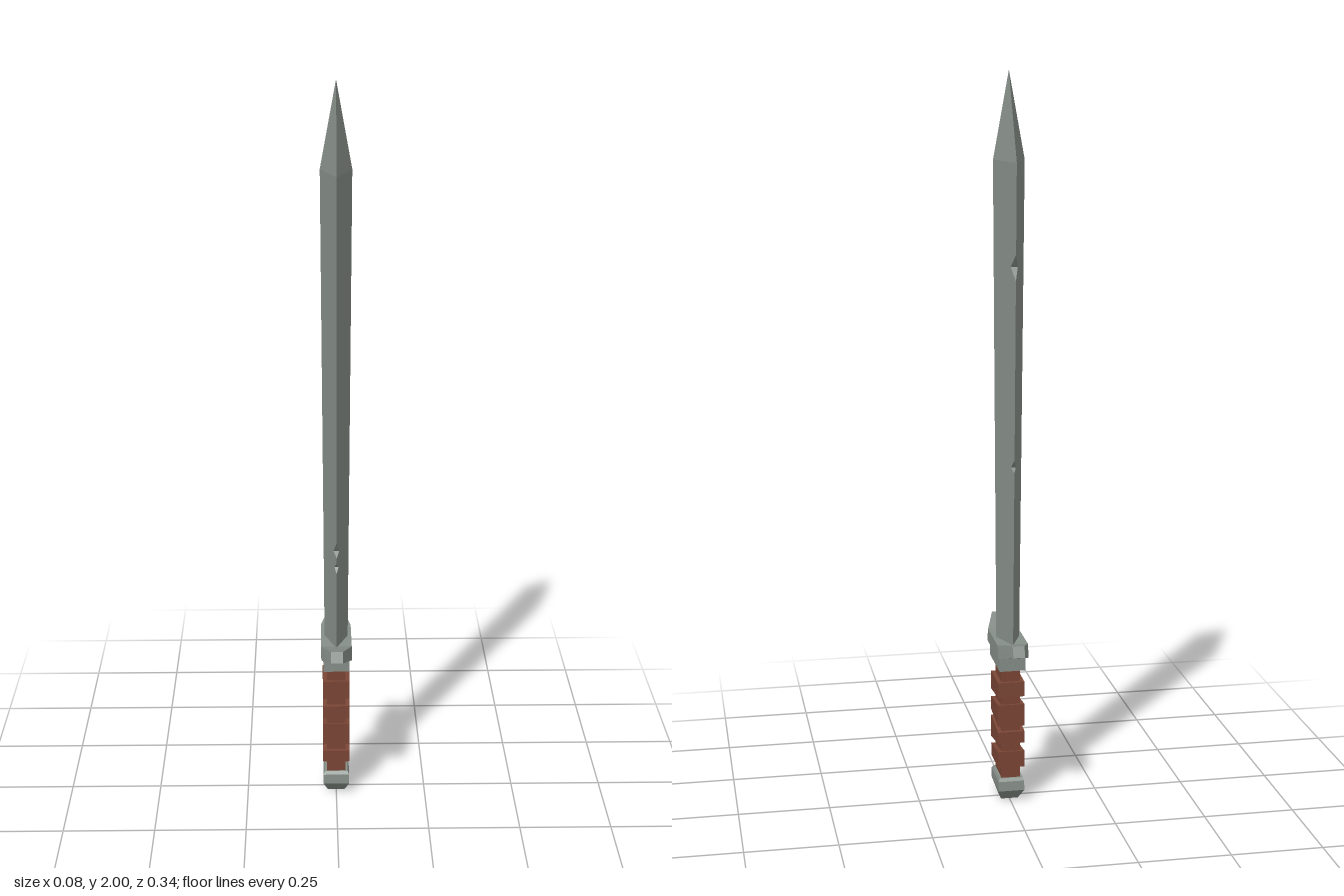
import * as THREE from 'three';

// Skin a series of equal-length rings, counterclockwise about the direction of travel, with end caps.
function loft(rings) {
  const pos = [];
  const tri = (a, b, c) => pos.push(...a, ...b, ...c);
  const n = rings[0].length;
  for (let r = 0; r < rings.length - 1; r++) {
    const a = rings[r], b = rings[r + 1];
    for (let i = 0; i < n; i++) {
      const j = (i + 1) % n;
      tri(a[i], a[j], b[j]);
      tri(a[i], b[j], b[i]);
    }
  }
  const first = rings[0], last = rings[rings.length - 1];
  for (let i = 1; i < n - 1; i++) {
    tri(first[0], first[i + 1], first[i]);
    tri(last[0], last[i], last[i + 1]);
  }
  const geo = new THREE.BufferGeometry();
  geo.setAttribute('position', new THREE.Float32BufferAttribute(pos, 3));
  geo.computeVertexNormals();
  return geo;
}

// Rectangular ring at height y; skew tilts it along z.
const rect = (y, hx, hz, skew = 0) =>
  [[hx, hz], [hx, -hz], [-hx, -hz], [-hx, hz]].map(([x, z]) => [x, y + skew * z, z]);

export function createModel() {
  const steel = new THREE.MeshStandardMaterial({ color: 0x868e88 });
  steel.name = 'steel';
  const leather = new THREE.MeshStandardMaterial({ color: 0x7a4635 });
  leather.name = 'leather';

  const sword = new THREE.Group();
  sword.name = 'sword';
  const add = (name, geo, mat) => {
    const mesh = new THREE.Mesh(geo, mat);
    mesh.name = name;
    sword.add(mesh);
  };

  // Blade: diamond section, blunted wherever a nick cuts into an edge
  const bottom = 0.45, shoulder = 1.77;
  const rows = [ // height, front nick depth, back nick depth
    [bottom, 0, 0], [0.685, 0, 0], [0.7, 0.015, 0], [0.715, 0, 0],
    [0.73, 0, 0], [0.745, 0.02, 0], [0.775, 0, 0],
    [0.95, 0, 0], [0.962, 0, 0.017], [0.985, 0, 0],
    [1.465, 0, 0], [1.5, 0, 0.024], [1.535, 0, 0], [shoulder, 0, 0],
  ];
  const bladeRings = rows.map(([y, nickF, nickB]) => {
    const k = (y - bottom) / (shoulder - bottom);
    const ridge = -0.016 * k, w = 0.032 + 0.01 * k;
    const front = 0.081 + 0.014 * k, back = -0.079 - 0.047 * k;
    const tf = w * nickF / (front - ridge), tb = w * nickB / (ridge - back);
    const zf = front - nickF, zb = back + nickB;
    return [[w, y, ridge], [tb, y, zb], [-tb, y, zb], [-w, y, ridge], [-tf, y, zf], [tf, y, zf]];
  });
  bladeRings.push(Array.from({ length: 6 }, () => [0, 2, -0.016]));
  add('blade', loft(bladeRings), steel);

  // Crossguard: flat middle with narrowing, upswept arms
  const half = [ // top z, top y, bottom z, bottom y, half width
    [0.073, 0.466, 0.086, 0.43, 0.042],
    [0.157, 0.488, 0.17, 0.46, 0.016],
  ];
  const guardRing = ([zt, yt, zb, yb, w], s) =>
    [[w, yb, s * zb], [w, yt, s * zt], [-w, yt, s * zt], [-w, yb, s * zb]];
  add('crossguard', loft([
    guardRing(half[1], -1), guardRing(half[0], -1),
    guardRing(half[0], 1), guardRing(half[1], 1),
  ]), steel);
  add('guardCollar', loft([rect(0.39, 0.036, 0.074), rect(0.435, 0.036, 0.074)]), steel);

  // Grip core and slanted leather bands
  add('gripCore', loft([rect(0.06, 0.026, 0.045), rect(0.395, 0.026, 0.045)]), leather);
  const bands = [ // bottom, top, bottom skew, top skew
    [0.103, 0.143, 0, -0.12], [0.165, 0.213, -0.15, 0.12],
    [0.23, 0.28, 0.12, -0.1], [0.303, 0.35, -0.1, 0],
  ];
  for (const [y0, y1, s0, s1] of bands) {
    add('gripBand', loft([rect(y0, 0.037, 0.054, s0), rect(y1, 0.037, 0.054, s1)]), leather);
  }

  // Pommel
  add('pommel', loft([
    rect(0, 0.024, 0.025), rect(0.035, 0.036, 0.058),
    rect(0.062, 0.036, 0.056), rect(0.07, 0.032, 0.05),
  ]), steel);

  return sword;
}
